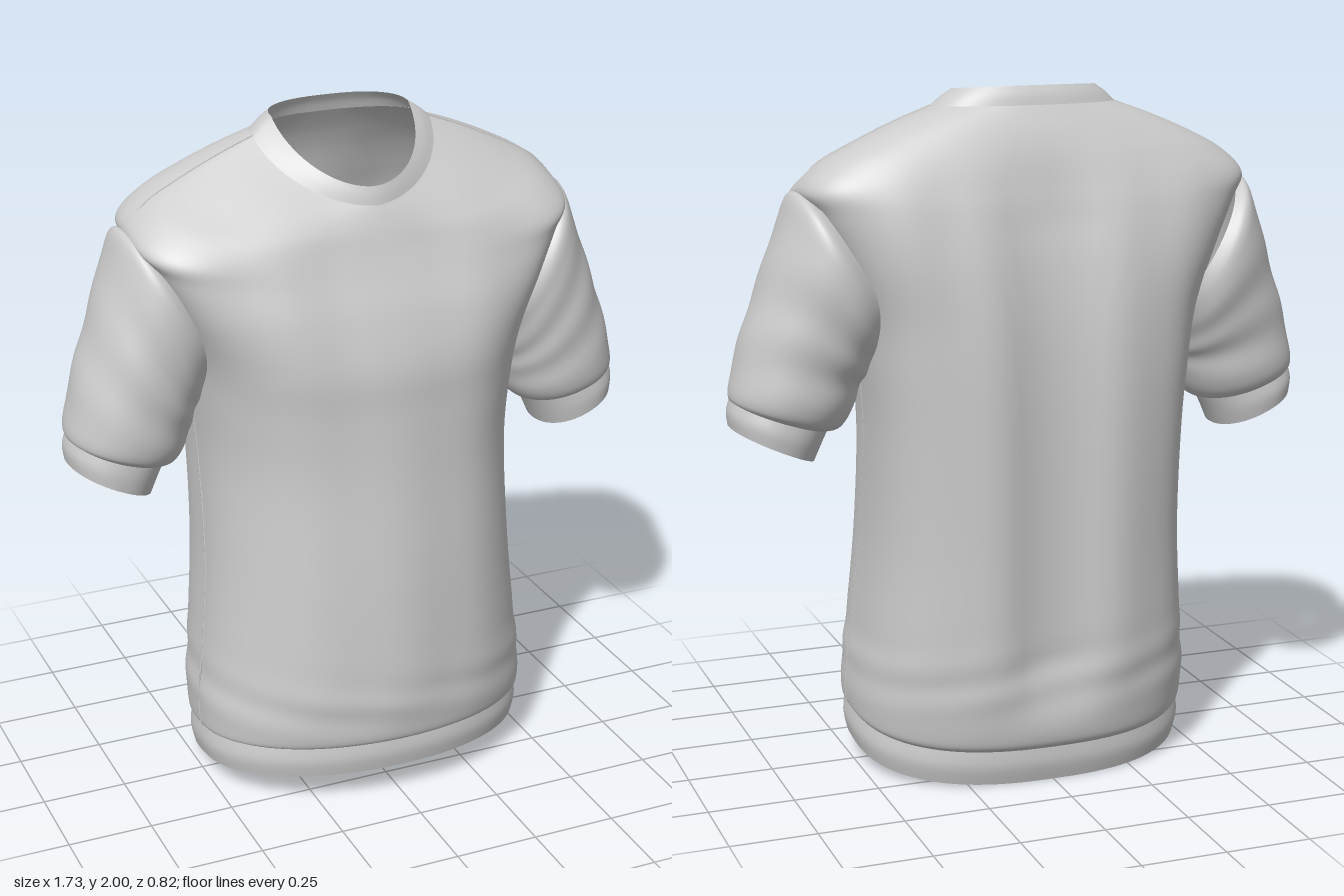
import * as THREE from 'three';

const SEG = 96;
const { smoothstep } = THREE.MathUtils;
const cloth = new THREE.MeshStandardMaterial({ color: 0xcccccc, side: THREE.DoubleSide });
const spow = (v, e) => Math.sign(v) * Math.abs(v) ** e;

// Smooth interpolation of section rows (Catmull-Rom on every column)
function smoothRows(rows, steps) {
  const out = [], at = i => rows[Math.max(0, Math.min(rows.length - 1, i))];
  for (let i = 0; i < rows.length - 1; i++) {
    for (let k = 0; k < steps; k++) {
      const t = k / steps;
      out.push(rows[i].map((p1, c) => {
        const p0 = at(i - 1)[c], p2 = at(i + 1)[c], p3 = at(i + 2)[c];
        return p1 + 0.5 * t * (p2 - p0 + t * (2 * p0 - 5 * p1 + 4 * p2 - p3 + t * (3 * (p1 - p2) + p3 - p0)));
      }));
    }
  }
  out.push(rows[rows.length - 1]);
  return out;
}

// Closed rings of points, listed from bottom to top, joined into a sheet
function loft(name, rows, steps, pointAt, dir = 1) {
  const rings = smoothRows(rows, steps), pos = [], idx = [];
  rings.forEach((row, j) => {
    for (let i = 0; i < SEG; i++) {
      pos.push(...pointAt(row, dir * i / SEG * Math.PI * 2));
      if (j === rings.length - 1) continue;
      const a = j * SEG + i, b = j * SEG + (i + 1) % SEG;
      idx.push(a, a + SEG, b, b, a + SEG, b + SEG);
    }
  });
  const geo = new THREE.BufferGeometry();
  geo.setAttribute('position', new THREE.Float32BufferAttribute(pos, 3));
  geo.setIndex(idx);
  geo.computeVertexNormals();
  const mesh = new THREE.Mesh(geo, cloth);
  mesh.name = name;
  return mesh;
}

// Torso section: side x, y, z, front y, z, back y, z, front and back roundness
function torsoPoint([sx, sy, sz, fy, fz, by, bz, ef, eb], t) {
  const c = Math.cos(t), s = Math.sin(t), front = s >= 0;
  const e = front ? ef : eb, k = Math.abs(s) ** e;
  const x = sx * spow(c, e);
  const y = sy + ((front ? fy : by) - sy) * k;
  let z = sz + ((front ? fz : bz) - sz) * k;
  const fade = smoothstep(y, 0.15, 0.4) * (1 - smoothstep(y, 1.6, 1.9));
  // spine hollow at the back, soft hanging folds, gathered cloth above the hem
  if (!front) z += fade * Math.abs(s) * (0.045 * Math.exp(-((x / 0.12) ** 2)) + 0.004 * Math.sin(Math.abs(x) * 26));
  else z += fade * s * 0.004 * Math.cos(x * 22);
  const gather = Math.exp(-(((y - 0.33) / 0.09) ** 2)) * 0.003 * Math.sin(y * 45 + x * 9);
  return [x + gather * c, y, z + gather * s];
}

// Sleeve section: outer x, y, inner x, y, front z, back z
function sleevePoint(side, fold) {
  return ([xo, yo, xi, yi, zf, zb], t) => {
    const c = spow(Math.cos(t), 0.93), s = spow(Math.sin(t), 0.93);
    const w = 0.5 + fold * Math.sin(yo * 30 + t * 2) * Math.max(0, Math.sin((1.7 - yo) * 5.5));
    return [
      side * ((xo + xi) / 2 + (xo - xi) * c * w),
      (yo + yi) / 2 + (yo - yi) * c * w,
      (zf + zb) / 2 + (zf - zb) * s * w,
    ];
  };
}

const hemRows = [
  [0.5, 0.07, 0.03, 0.1, 0.37, 0.005, -0.355, 0.95, 0.8],
  [0.51, 0.12, 0.03, 0.15, 0.378, 0.06, -0.37, 0.95, 0.8],
  [0.503, 0.17, 0.03, 0.2, 0.372, 0.11, -0.37, 0.95, 0.8],
];
const bodyRows = [
  hemRows[2],
  [0.512, 0.19, 0.03, 0.213, 0.4, 0.14, -0.39, 0.95, 0.8],
  [0.512, 0.28, 0.025, 0.3, 0.41, 0.25, -0.405, 0.95, 0.78],
  [0.496, 0.42, 0.02, 0.42, 0.41, 0.4, -0.414, 0.95, 0.75],
  [0.472, 0.7, 0, 0.7, 0.388, 0.7, -0.416, 0.93, 0.72],
  [0.468, 1.0, -0.045, 1.0, 0.352, 1.0, -0.416, 0.88, 0.7],
  [0.482, 1.2, -0.06, 1.2, 0.334, 1.2, -0.412, 0.8, 0.68],
  [0.505, 1.36, -0.06, 1.34, 0.324, 1.37, -0.4, 0.73, 0.64],
  [0.565, 1.53, -0.06, 1.48, 0.285, 1.53, -0.376, 0.63, 0.58],
  [0.625, 1.66, -0.06, 1.59, 0.24, 1.66, -0.345, 0.6, 0.56],
  [0.66, 1.72, -0.06, 1.65, 0.216, 1.74, -0.318, 0.6, 0.58],
  [0.6, 1.79, -0.064, 1.695, 0.2, 1.81, -0.291, 0.68, 0.64],
  [0.5, 1.845, -0.07, 1.725, 0.188, 1.868, -0.264, 0.8, 0.7],
  [0.38, 1.9, -0.075, 1.755, 0.174, 1.915, -0.24, 0.95, 0.75],
  [0.268, 1.943, -0.08, 1.777, 0.162, 1.948, -0.222, 1.12, 0.8],
];
const collarRows = [
  [0.271, 1.943, -0.08, 1.776, 0.165, 1.947, -0.225, 1.12, 0.8],
  [0.243, 1.967, -0.084, 1.802, 0.159, 1.975, -0.217, 1.1, 0.8],
  [0.21, 1.988, -0.09, 1.827, 0.15, 2.0, -0.204, 1.05, 0.8],
];
// The last sleeve row tucks the cap in under the shoulder
const sleeveRows = [
  [0.852, 1.13, 0.585, 1.04, 0.098, -0.2],
  [0.858, 1.15, 0.55, 1.05, 0.12, -0.228],
  [0.85, 1.2, 0.52, 1.09, 0.132, -0.245],
  [0.815, 1.33, 0.5, 1.15, 0.137, -0.255],
  [0.755, 1.5, 0.48, 1.2, 0.143, -0.28],
  [0.705, 1.64, 0.46, 1.25, 0.148, -0.302],
  [0.675, 1.712, 0.44, 1.28, 0.145, -0.3],
  [0.64, 1.712, 0.41, 1.31, 0.12, -0.275],
];
const cuffRows = [
  [0.86, 1.06, 0.625, 0.955, 0.095, -0.195],
  [0.864, 1.1, 0.605, 1.0, 0.1, -0.203],
  [0.855, 1.135, 0.585, 1.04, 0.098, -0.2],
];

// Raised stitched line along the side of the torso
function seam(name, rows, side) {
  const pts = smoothRows(rows, 3).map(r => {
    const [x, y, z] = torsoPoint(r, 0);
    return new THREE.Vector3(side * x, y, z);
  });
  const mesh = new THREE.Mesh(new THREE.TubeGeometry(new THREE.CatmullRomCurve3(pts), 60, 0.003, 6), cloth);
  mesh.name = name;
  return mesh;
}

export function createModel() {
  const shirt = new THREE.Group();
  shirt.name = 'shirt';
  shirt.add(
    loft('hemBand', hemRows, 4, torsoPoint),
    loft('body', bodyRows, 8, torsoPoint),
    loft('collar', collarRows, 4, torsoPoint),
  );
  for (const side of [1, -1]) {
    const label = side > 0 ? 'left' : 'right';
    shirt.add(
      loft(label + 'Sleeve', sleeveRows, 8, sleevePoint(side, 0.007), side),
      loft(label + 'Cuff', cuffRows, 4, sleevePoint(side, 0), side),
      seam(label + 'SideSeam', bodyRows.slice(0, 7), side),
      seam(label + 'ShoulderSeam', bodyRows.slice(10), side),
    );
  }
  return shirt;
}
